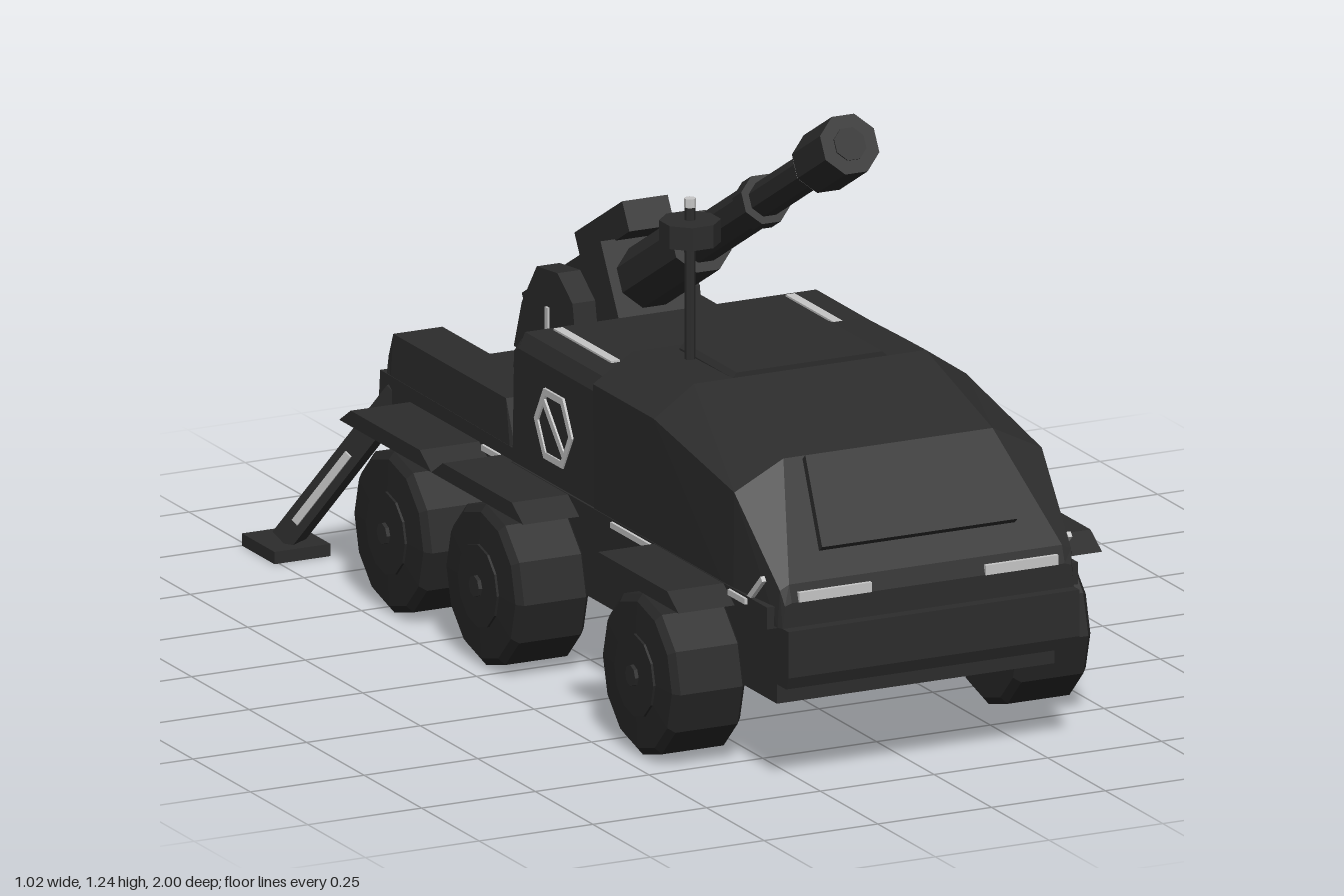
import * as THREE from 'three';

const mat = (name, color, opts = {}) => {
  const m = new THREE.MeshStandardMaterial({ color, flatShading: true, ...opts });
  m.name = name;
  return m;
};

// Closed hull through convex rings [x, y], listed back to front, each at its z
function loft(sections) {
  const p = [];
  const tri = (...v) => v.forEach(c => p.push(...c));
  const rings = sections.map(([z, pts]) => pts.map(([x, y]) => [x, y, z]));
  const n = rings[0].length, last = rings[rings.length - 1];
  for (let s = 0; s < rings.length - 1; s++) {
    for (let i = 0; i < n; i++) {
      const j = (i + 1) % n;
      const a = rings[s][i], b = rings[s][j], c = rings[s + 1][j], d = rings[s + 1][i];
      tri(a, b, c);
      tri(a, c, d);
    }
  }
  for (let i = 1; i < n - 1; i++) {
    tri(last[0], last[i], last[i + 1]);
    tri(rings[0][0], rings[0][i + 1], rings[0][i]);
  }
  const g = new THREE.BufferGeometry();
  g.setAttribute('position', new THREE.Float32BufferAttribute(p, 3));
  g.computeVertexNormals();
  return g;
}

// Symmetric hull ring: base, widest shoulder, narrower top
const hullRing = (base, wBase, wSide, shoulder, wTop, top) => [
  [wBase, base], [wSide, shoulder], [wTop, top],
  [-wTop, top], [-wSide, shoulder], [-wBase, base],
];

// Side silhouette [z, y] extruded across x
function sideProfile(points, width) {
  const shape = new THREE.Shape(points.map(([z, y]) => new THREE.Vector2(-z, y)));
  const g = new THREE.ExtrudeGeometry(shape, { depth: width, bevelEnabled: false });
  return g.translate(0, 0, -width / 2).rotateY(Math.PI / 2);
}

export function createModel() {
  const model = new THREE.Group();
  model.name = 'sixWheelGunCarrier';
  const hull = mat('charcoal hull', 0x2c2c2c);
  const rubber = mat('dark rubber', 0x272727);
  const light = mat('pale grey trim', 0xc6c6c6);

  const add = (name, geo, material, x = 0, y = 0, z = 0, parent = model) => {
    const m = new THREE.Mesh(geo, material);
    m.name = name;
    m.position.set(x, y, z);
    parent.add(m);
    return m;
  };
  // Box given by its ranges
  const box = (name, m, [x0, x1], [y0, y1], [z0, z1], parent = model) =>
    add(name, new THREE.BoxGeometry(Math.abs(x1 - x0), y1 - y0, z1 - z0), m,
      (x0 + x1) / 2, (y0 + y1) / 2, (z0 + z1) / 2, parent);

  // Chassis and bumper
  box('chassis', hull, [-0.305, 0.305], [0.165, 0.34], [-0.745, 0.92]);
  add('frontBumper', sideProfile([[0.9, 0.215], [0.99, 0.215], [1, 0.24], [1, 0.335], [0.9, 0.335]], 0.64), hull);
  box('sill', hull, [-0.342, 0.342], [0.33, 0.375], [-0.16, 0.95]);

  // Cab and crew module
  add('cab', loft([
    [0.195, hullRing(0.335, 0.34, 0.343, 0.63, 0.255, 0.685)],
    [0.46, hullRing(0.335, 0.34, 0.343, 0.63, 0.255, 0.69)],
    [0.8, hullRing(0.335, 0.34, 0.338, 0.57, 0.23, 0.625)],
    [0.963, hullRing(0.335, 0.325, 0.32, 0.41, 0.3, 0.42)],
    [0.975, hullRing(0.335, 0.32, 0.315, 0.38, 0.3, 0.385)],
  ]), hull);
  add('crewModule', loft([
    [-0.165, hullRing(0.335, 0.338, 0.334, 0.6, 0.315, 0.625)],
    [-0.145, hullRing(0.335, 0.338, 0.334, 0.61, 0.32, 0.642)],
    [0.2, hullRing(0.335, 0.338, 0.334, 0.61, 0.32, 0.642)],
  ]), hull);
  const screen = new THREE.Shape([[-0.215, -0.1], [0.215, -0.1], [0.19, 0.095], [-0.19, 0.095]]
    .map(([x, y]) => new THREE.Vector2(x, y)));
  add('windscreenShutter', new THREE.ExtrudeGeometry(screen, { depth: 0.018, bevelEnabled: false }),
    hull, 0, 0.545, 0.862).rotation.x = -0.678;
  add('roofHatch', loft([
    [0.23, hullRing(0.67, 0.17, 0.17, 0.69, 0.16, 0.7)],
    [0.46, hullRing(0.67, 0.17, 0.17, 0.69, 0.16, 0.7)],
  ]), hull);

  // Rear deck
  add('rearDeck', sideProfile([[-0.15, 0.335], [-0.15, 0.4], [-0.745, 0.405], [-0.752, 0.335]].reverse(), 0.67), hull);
  const hexHole = r => Array.from({ length: 6 }, (_, i) =>
    new THREE.Vector2(r * Math.cos(i * Math.PI / 3), r * Math.sin(i * Math.PI / 3)));
  const hexFrame = new THREE.Shape(hexHole(0.083));
  hexFrame.holes.push(new THREE.Path(hexHole(0.067)));
  const hexGeo = new THREE.ExtrudeGeometry(hexFrame, { depth: 0.008, bevelEnabled: false });

  // Wheel cross-section revolved about its axle
  const wheelGeo = new THREE.LatheGeometry([
    [0, 0], [0.15, 0], [0.165, 0.012], [0.165, 0.148], [0.15, 0.16], [0.085, 0.163], [0.085, 0.168], [0, 0.168],
  ].map(([r, h]) => new THREE.Vector2(r, h)), 12).rotateZ(-Math.PI / 2);
  const capGeo = new THREE.CylinderGeometry(0.022, 0.022, 0.012, 8).rotateZ(Math.PI / 2);

  for (const s of [1, -1]) {
    const side = s > 0 ? 'left' : 'right';
    // Wheels with mudguards
    for (const z of [0.62, -0.06, -0.46]) {
      const wheel = new THREE.Group();
      wheel.name = side + 'Wheel';
      wheel.position.set(s * 0.3, 0.165, z);
      wheel.rotation.y = s > 0 ? 0 : Math.PI;
      add('tyreAndHub', wheelGeo, rubber, 0, 0, 0, wheel);
      add('axleCap', capGeo, hull, 0.17, 0, 0, wheel);
      model.add(wheel);
      const c = z + (z > 0 ? -0.01 : -0.005);
      add(side + 'Mudguard', sideProfile(
        [[c - 0.2, 0.342], [c + 0.2, 0.342], [c + 0.15, 0.374], [c - 0.15, 0.374]].reverse(), 0.165),
      hull, s * 0.383);
    }

    // Stowage bin beside the gun
    const bin = (x0, x1, top) => [[x1, 0.39], [x1 - 0.006, top], [x0 + 0.006, top], [x0, 0.39]]
      .map(([x, y]) => [x + s * 0.275, y]);
    add(side + 'StowageBin', loft([
      [-0.72, bin(-0.06, 0.06, 0.44)], [-0.7, bin(-0.06, 0.06, 0.49)],
      [-0.21, bin(-0.06, 0.06, 0.49)], [-0.18, bin(-0.06, 0.06, 0.42)],
    ]), hull);

    // Pale strips and hatch frame
    box(side + 'Headlight', light, [s * 0.125, s * 0.285], [0.385, 0.405], [0.969, 0.978]);
    box(side + 'RearLight', light, [s * 0.17, s * 0.27], [0.355, 0.378], [-0.757, -0.748]);
    box(side + 'RoofStrip', light, [s * 0.245, s * 0.265], [0.638, 0.646], [-0.13, 0.12]);
    box(side + 'SillStrip', light, [s * 0.34, s * 0.348], [0.359, 0.371], [0.28, 0.45]);
    box(side + 'DeckStrip', light, [s * 0.333, s * 0.341], [0.362, 0.374], [-0.295, -0.22]);
    box(side + 'NoseStrip', light, [s * 0.34, s * 0.348], [0.359, 0.371], [0.79, 0.865]);
    const slant = box(side + 'NoseSlant', light, [s * 0.332, s * 0.341], [0.391, 0.403], [0.85, 0.935]);
    slant.rotation.x = -0.75;
    const frame = new THREE.Group();
    frame.name = side + 'HatchFrame';
    frame.position.set(s * 0.332, 0.49, 0.015);
    frame.rotation.y = s * Math.PI / 2;
    add('hexRim', hexGeo, light, 0, 0, 0, frame);
    add('brace', new THREE.BoxGeometry(0.14, 0.014, 0.008), light, 0, 0, 0.004, frame).rotation.z = -0.8;
    model.add(frame);

    // Folding stabiliser leg
    const from = new THREE.Vector3(s * 0.31, 0.37, -0.7), to = new THREE.Vector3(s * 0.45, 0.03, -0.92);
    const length = from.distanceTo(to);
    const leg = new THREE.Group();
    leg.name = side + 'Stabiliser';
    leg.position.copy(from).lerp(to, 0.5);
    leg.lookAt(to);
    add('strut', new THREE.BoxGeometry(0.05, 0.05, length), hull, 0, 0, 0, leg);
    add('strutStrip', new THREE.BoxGeometry(0.008, 0.016, 0.2), light, -s * 0.026, 0, 0.06, leg);
    model.add(leg);
    box(side + 'Foot', hull, [s * 0.387, s * 0.51], [0, 0.025], [-1, -0.858]);

    // Gun cradle cheek
    add(side + 'CradleCheek', sideProfile(
      [[-0.265, 0.48], [-0.295, 0.635], [-0.36, 0.68], [-0.45, 0.67], [-0.515, 0.58], [-0.55, 0.48]], 0.05),
    hull, s * 0.115);
    box(side + 'CheekStrip', light, [s * 0.137, s * 0.145], [0.54, 0.6], [-0.406, -0.394]);
  }

  // Turntable
  add('turntable', new THREE.CylinderGeometry(0.19, 0.205, 0.1, 8).rotateY(Math.PI / 8), hull, 0, 0.445, -0.4);
  box('cradleBase', hull, [-0.1, 0.1], [0.45, 0.55], [-0.54, -0.28]);

  // Elevated gun, built along local z with its origin in the muzzle
  const gun = new THREE.Group();
  gun.name = 'gun';
  gun.position.set(0, 1.165, 0.585);
  gun.rotation.x = -Math.PI / 6;
  model.add(gun);
  const tube = (name, m, r, z0, z1) => add(name,
    new THREE.CylinderGeometry(r, r, z1 - z0, 8).rotateY(Math.PI / 8).rotateX(Math.PI / 2), m, 0, 0, (z0 + z1) / 2, gun);
  box('breech', hull, [-0.082, 0.082], [-0.08, 0.083], [-1.355, -0.96], gun);
  box('sightHousing', hull, [-0.05, 0.05], [0.08, 0.142], [-1.13, -0.89], gun);
  box('sightStrip', light, [-0.008, 0.008], [0.139, 0.147], [-1.1, -0.92], gun);
  tube('recoilSleeve', hull, 0.066, -0.97, -0.69);
  tube('lowerBarrel', hull, 0.045, -0.7, -0.39);
  tube('barrelCollar', hull, 0.053, -0.41, -0.365);
  tube('upperBarrel', hull, 0.037, -0.38, -0.08);
  tube('muzzleRing', light, 0.054, -0.105, -0.085);
  tube('muzzleBrake', hull, 0.064, -0.085, 0.056);
  tube('muzzleBore', rubber, 0.035, 0.05, 0.059);

  // Sensor mast
  const rod = (name, m, r, y0, y1) => add(name,
    new THREE.CylinderGeometry(r, r, y1 - y0, 8).rotateY(Math.PI / 8), m, -0.18, (y0 + y1) / 2, 0.295);
  rod('mast', hull, 0.011, 0.67, 1);
  rod('sensorHead', hull, 0.061, 0.925, 0.972);
  rod('mastBeacon', light, 0.012, 0.998, 1.016);

  return model;
}
